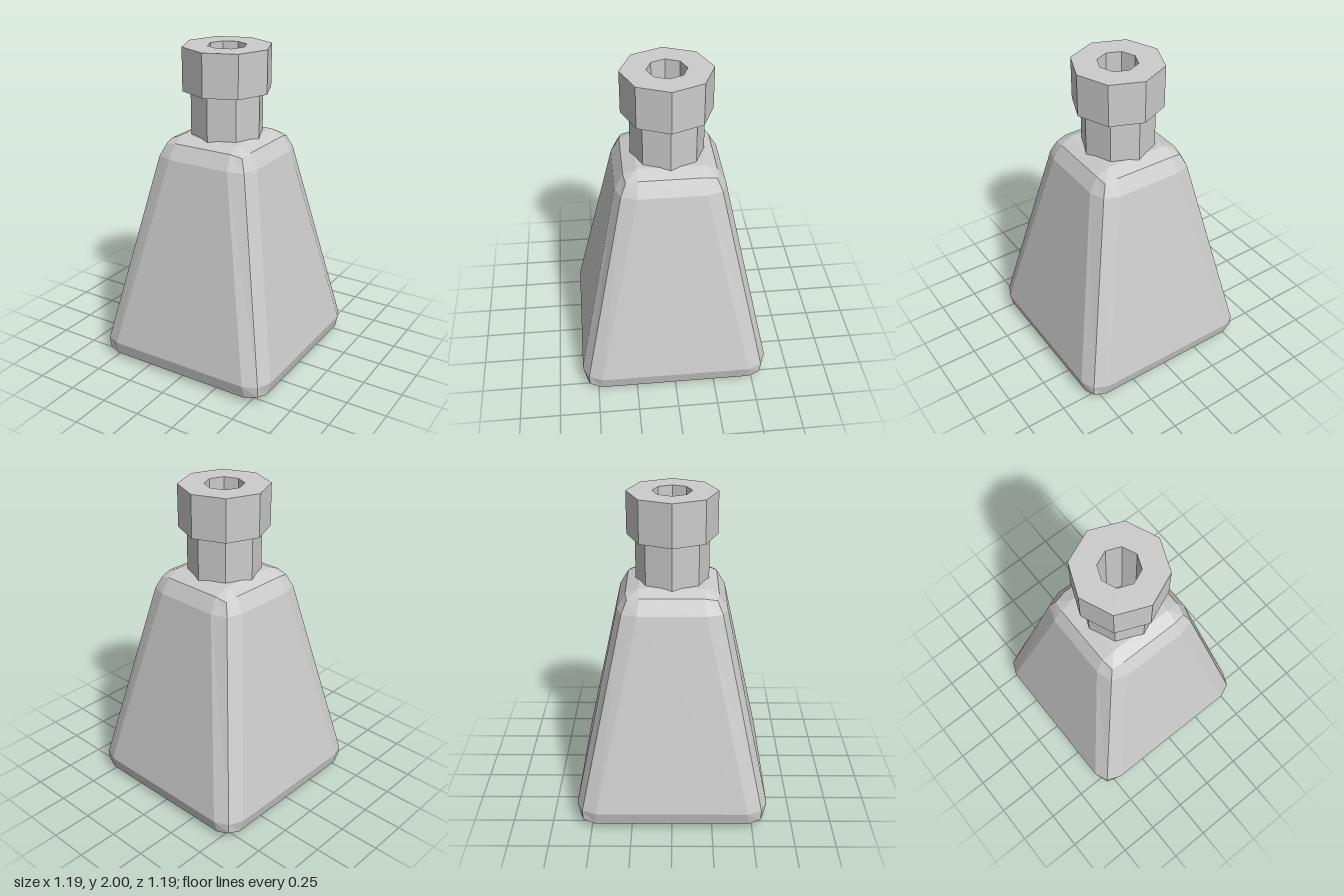
import * as THREE from 'three';

// Unshared vertices give every face its own flat normal
function faceted(geometry) {
  const flat = geometry.index ? geometry.toNonIndexed() : geometry;
  flat.computeVertexNormals();
  return flat;
}

// Eight-sided turned part from [radius, height] pairs
function turned(profile) {
  return faceted(new THREE.LatheGeometry(profile.map(([r, y]) => new THREE.Vector2(r, y)), 8));
}

// Tapered square body with two-step bevels.
// Each level: [side height, half width, corner start, corner mid, corner mid height]
function bodyGeometry() {
  const levels = [
    [0, 0, 0, 0, 0],
    [0, 0.49, 0.49, 0.49, 0],
    [0.035, 0.575, 0.48, 0.555, 0.055],
    [0.12, 0.595, 0.47, 0.557, 0.12],
    [1.34, 0.333, 0.205, 0.3, 1.34],
    [1.43, 0.28, 0.195, 0.268, 1.415],
    [1.465, 0.2, 0.2, 0.2, 1.465],
    [1.465, 0, 0, 0, 1.465],
  ];
  const rings = levels.map(([y, half, start, mid, midY]) => {
    const ring = [];
    let corner = [[start, y, half], [mid, midY, mid], [half, y, start]];
    for (let k = 0; k < 4; k++) {
      ring.push(...corner.map((p) => new THREE.Vector3(...p)));
      corner = corner.map(([x, h, z]) => [z, h, -x]);
    }
    return ring;
  });
  const points = [];
  const addTriangle = (...tri) => {
    if (new THREE.Triangle(...tri).getArea() > 1e-6) points.push(...tri);
  };
  for (let j = 0; j < rings.length - 1; j++) {
    for (let i = 0; i < 12; i++) {
      const n = (i + 1) % 12;
      const a = rings[j][i], b = rings[j][n], c = rings[j + 1][n], d = rings[j + 1][i];
      addTriangle(a, b, d);
      addTriangle(b, c, d);
    }
  }
  return faceted(new THREE.BufferGeometry().setFromPoints(points));
}

export function createModel() {
  const group = new THREE.Group();
  group.name = 'bottle';
  const grey = new THREE.MeshStandardMaterial({ color: 0xcccccc });
  grey.name = 'light grey';

  const add = (name, geometry) => {
    const mesh = new THREE.Mesh(geometry, grey);
    mesh.name = name;
    group.add(mesh);
  };

  add('body', bodyGeometry());
  add('neck', turned([[0.225, 1.44], [0.225, 1.735]]));
  // Thick lip whose bore runs down to the shoulder
  add('lip', turned([[0.225, 1.735], [0.275, 1.735], [0.275, 2], [0.12, 2]]));
  add('bore', turned([[0.12, 2], [0.12, 1.465]]));
  return group;
}
